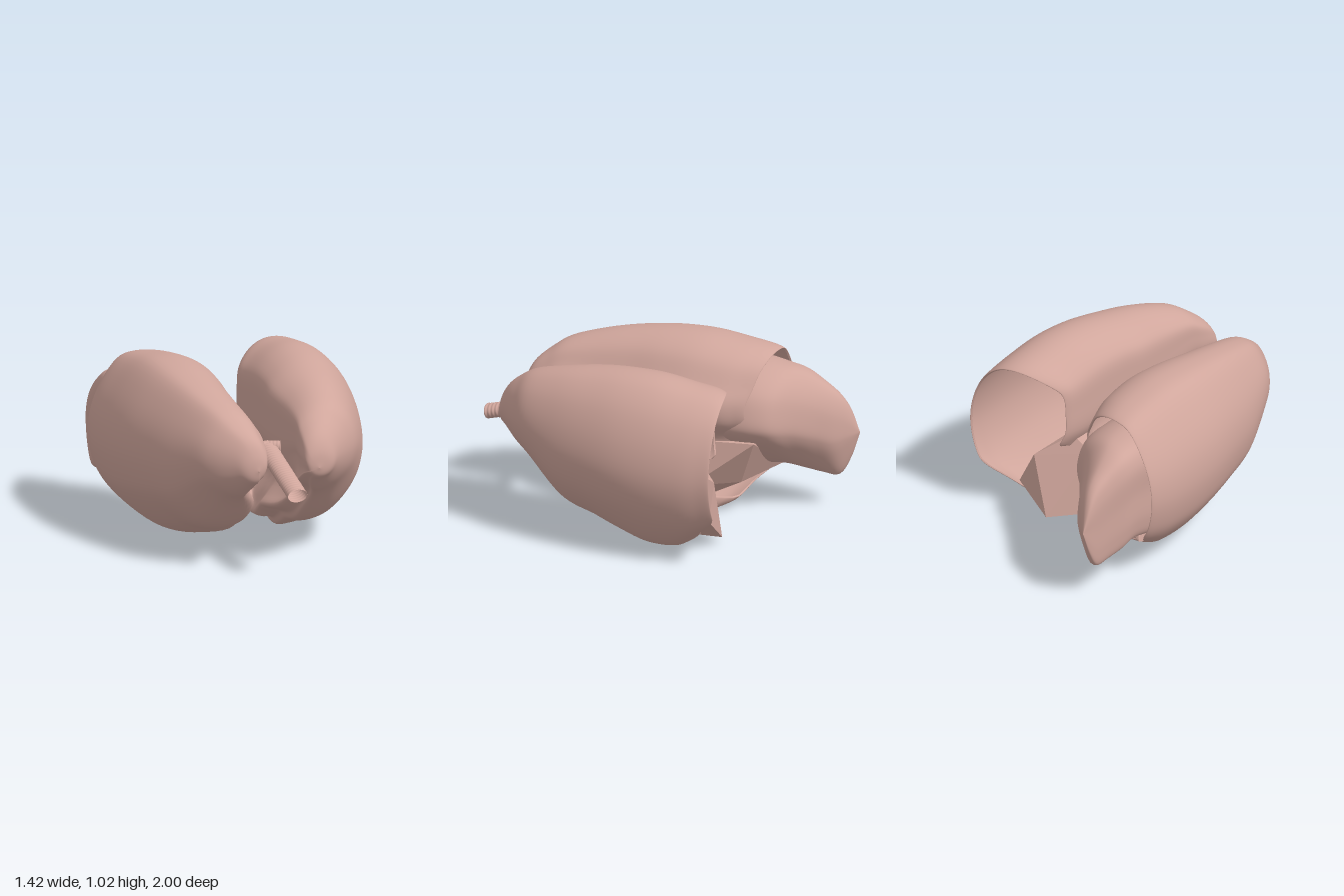
import * as THREE from 'three';
import { ConvexGeometry } from 'three/addons/geometries/ConvexGeometry.js';

const material = new THREE.MeshStandardMaterial({ color: 0xd0a69c, side: THREE.DoubleSide });
const { smoothstep, lerp } = THREE.MathUtils;

function add(parent, name, geometry) {
  const mesh = new THREE.Mesh(geometry, material);
  mesh.name = name;
  parent.add(mesh);
  return mesh;
}

// Lofts a unit contour (u: lateral to medial, v: up) along z.
// Each section is [z, lateral x, medial x, bottom y, top y].
// warp(u, v, p) may then move the point p.
function loft(contour, sections, { warp = () => {}, roundTo = 0, rows = 64, cols = 96 } = {}) {
  const outline = new THREE.CatmullRomCurve3(
    contour.map(([u, v]) => new THREE.Vector3(u, v, 0)), true, 'centripetal');
  const ring = Array.from({ length: cols }, (_, j) => outline.getPoint(j / cols));
  const track = (a, b) => new THREE.CatmullRomCurve3(
    sections.map(s => new THREE.Vector3(s[0], s[a], s[b])), false, 'catmullrom', 0.5);
  const xs = track(1, 2), ys = track(3, 4);
  const pos = [], index = [];
  for (let i = 0; i <= rows; i++) {
    const a = xs.getPoint(i / rows), b = ys.getPoint(i / rows);
    const round = roundTo ? 1 - smoothstep(i / rows, 0, roundTo) : 0;
    ring.forEach(c => {
      // the front tip blends into a plain oval
      const ang = Math.atan2(c.y - 0.5, c.x - 0.5);
      const u = lerp(c.x, 0.5 + 0.5 * Math.cos(ang), round);
      const v = lerp(c.y, 0.5 + 0.5 * Math.sin(ang), round);
      const p = new THREE.Vector3(lerp(a.y, a.z, u), lerp(b.y, b.z, v), a.x);
      warp(u, v, p);
      pos.push(p.x, p.y, p.z);
    });
    if (i === 0) continue;
    for (let j = 0; j < cols; j++) {
      const k = (j + 1) % cols, r = i * cols, q = r - cols;
      index.push(q + j, r + j, q + k, q + k, r + j, r + k);
    }
  }
  const g = new THREE.BufferGeometry();
  g.setAttribute('position', new THREE.Float32BufferAttribute(pos, 3));
  g.setIndex(index);
  g.computeVertexNormals();
  return g;
}

// Hollows the medial side around one height and cuts the rear rim forward
// along the medial edge, at the hilum and along the bottom
function lungWarp(lateral, notch, cut) {
  return (u, v, p) => {
    const dent = Math.exp(-(((p.y - notch.y) / notch.height) ** 2));
    p.x += lateral * notch.depth * dent * smoothstep(u, 0.55, 0.95);
    const forward = cut.edge * u ** 4
      + cut.hilum * smoothstep(u, 0.65, 1) * smoothstep(1 - v, 0.53, 0.65)
      + cut.bottom * smoothstep(1 - v, 0.75, 1);
    const start = 0.2;
    if (p.z < start) p.z = start + (p.z - start) * (1 - Math.min(forward, 0.5) / (start + 0.58));
  };
}

const hull = points => new ConvexGeometry(points.map(p => new THREE.Vector3(...p)));

export function createModel() {
  const model = new THREE.Group();
  model.name = 'lungs';

  // Right lung: shell open at the rear
  const rightContour = [[0, .5], [.03, .35], [.08, .26], [.22, .14], [.42, .04], [.7, 0], [.92, .05],
    [1, .15], [.96, .28], [.93, .4], [.94, .5], [.97, .6], [.97, .72], [.89, .82],
    [.79, .92], [.65, .98], [.48, 1], [.3, .97], [.13, .82], [.03, .66]];
  add(model, 'rightUpperLobe', loft(rightContour, [
    [.835, -.17, -.17, .62, .62], [.82, -.24, -.12, .56, .7], [.78, -.3, -.1, .52, .78],
    [.7, -.395, -.085, .45, .85], [.6, -.47, -.075, .38, .91], [.4, -.565, -.06, .19, .965],
    [.2, -.63, -.045, .12, 1], [0, -.68, -.015, .06, 1.02], [-.2, -.705, 0, .015, 1.02],
    [-.4, -.712, -.02, .015, .99], [-.52, -.705, -.07, .05, .965], [-.575, -.695, -.1, .08, .945],
    [-.57, -.685, -.11, .09, .935]], {
    warp: lungWarp(-1, { y: .47, height: .09, depth: .085 }, { edge: .1, hilum: .25, bottom: .18 }),
    roundTo: .35 }));

  // Left lung: shell open at the rear, with a small lingula low on the medial side
  const leftContour = [[0, .5], [.05, .33], [.17, .19], [.4, .05], [.66, 0], [.79, .02], [.84, .07],
    [1.05, .13], [1, .2], [.94, .32], [.94, .45], [.97, .56], [.97, .7], [.95, .85], [.85, .93],
    [.68, .99], [.5, 1], [.33, .96], [.16, .85], [.04, .68]];
  add(model, 'leftUpperLobe', loft(leftContour, [
    [.84, .18, .18, .61, .61], [.825, .26, .12, .56, .7], [.78, .315, .1, .52, .78],
    [.7, .4, .095, .45, .85], [.6, .485, .1, .38, .91], [.4, .58, .095, .19, .965],
    [.2, .645, .075, .12, 1], [0, .69, .085, .065, 1.02], [-.2, .708, .09, .015, 1.02],
    [-.4, .706, .09, .015, .99], [-.52, .69, .09, .06, .97], [-.58, .68, .1, .1, .95],
    [-.575, .67, .11, .11, .94]], {
    warp: lungWarp(1, { y: .39, height: .1, depth: .05 }, { edge: .2, hilum: .25, bottom: .15 }),
    roundTo: .35 }));

  // Right lower lobe: wedge running back to a thin edge, its floor rising medially
  const wedge = [[0, .5], [0, .2], [.06, .03], [.3, 0], [.45, .05], [.72, .22], [.94, .4], [1, .5],
    [.97, .65], [.88, .8], [.68, .93], [.4, 1], [.1, .95], [0, .8]];
  add(model, 'rightLowerLobe', loft(wedge, [
    [-.2, -.38, -.38, .52, .52], [-.3, -.6, -.14, .28, .84], [-.45, -.625, -.11, .25, .87],
    [-.6, -.61, -.15, .26, .85], [-.7, -.605, -.26, .235, .82], [-.8, -.59, -.35, .215, .76],
    [-.89, -.58, -.42, .21, .69], [-.95, -.575, -.49, .31, .6], [-1, -.565, -.565, .46, .46]],
    { rows: 40 }));

  // Right middle lobe: faceted block filling the lower part of the opening
  add(model, 'rightMiddleLobe', hull([
    [-.57, .22, -.55], [-.5, .12, -.33], [-.22, .06, -.14], [-.08, .2, -.18], [-.15, .47, -.53],
    [-.13, .46, -.26], [-.24, .2, -.42], [-.48, .42, -.5], [-.3, .3, 0], [-.4, .48, -.3]]));

  // Left lower lobe: faceted wedge inside the open shell
  add(model, 'leftLowerLobe', hull([
    [.01, .05, -.25], [.2, .04, -.48], [.24, .05, -.25], [.13, .5, -.12], [.07, .4, -.25],
    [.3, .4, -.47], [.4, .2, -.48], [.35, .14, -.15], [.22, .5, -.1], [.16, .51, -.3],
    [.1, .13, -.05]]));

  // Windpipe: ribbed open tube sloping up toward the lungs
  const ribbed = (radius, length, ribs) => new THREE.LatheGeometry(
    Array.from({ length: ribs * 6 + 1 }, (_, i) => new THREE.Vector2(
      radius * (0.97 + 0.03 * Math.sin(i / 6 * Math.PI * 2)), length * (i / (ribs * 6) - 0.5))), 28);
  const place = (mesh, from, to) => {
    const a = new THREE.Vector3(...from), b = new THREE.Vector3(...to);
    mesh.position.copy(a).add(b).multiplyScalar(0.5);
    mesh.quaternion.setFromUnitVectors(new THREE.Vector3(0, 1, 0), b.sub(a).normalize());
  };
  const airway = new THREE.Group();
  airway.name = 'airway';
  model.add(airway);
  const windpipe = add(airway, 'windpipe', ribbed(.058, .54, 24));
  place(windpipe, [0, .51, .992], [0, .635, .47]);
  windpipe.scale.z = .72;

  // Two short branches at the inner end
  for (const side of [-1, 1]) {
    const branch = add(airway, side > 0 ? 'leftBranch' : 'rightBranch', ribbed(.034, .08, 4));
    place(branch, [0, .645, .46], [side * .07, .645, .49]);
  }
  return model;
}
